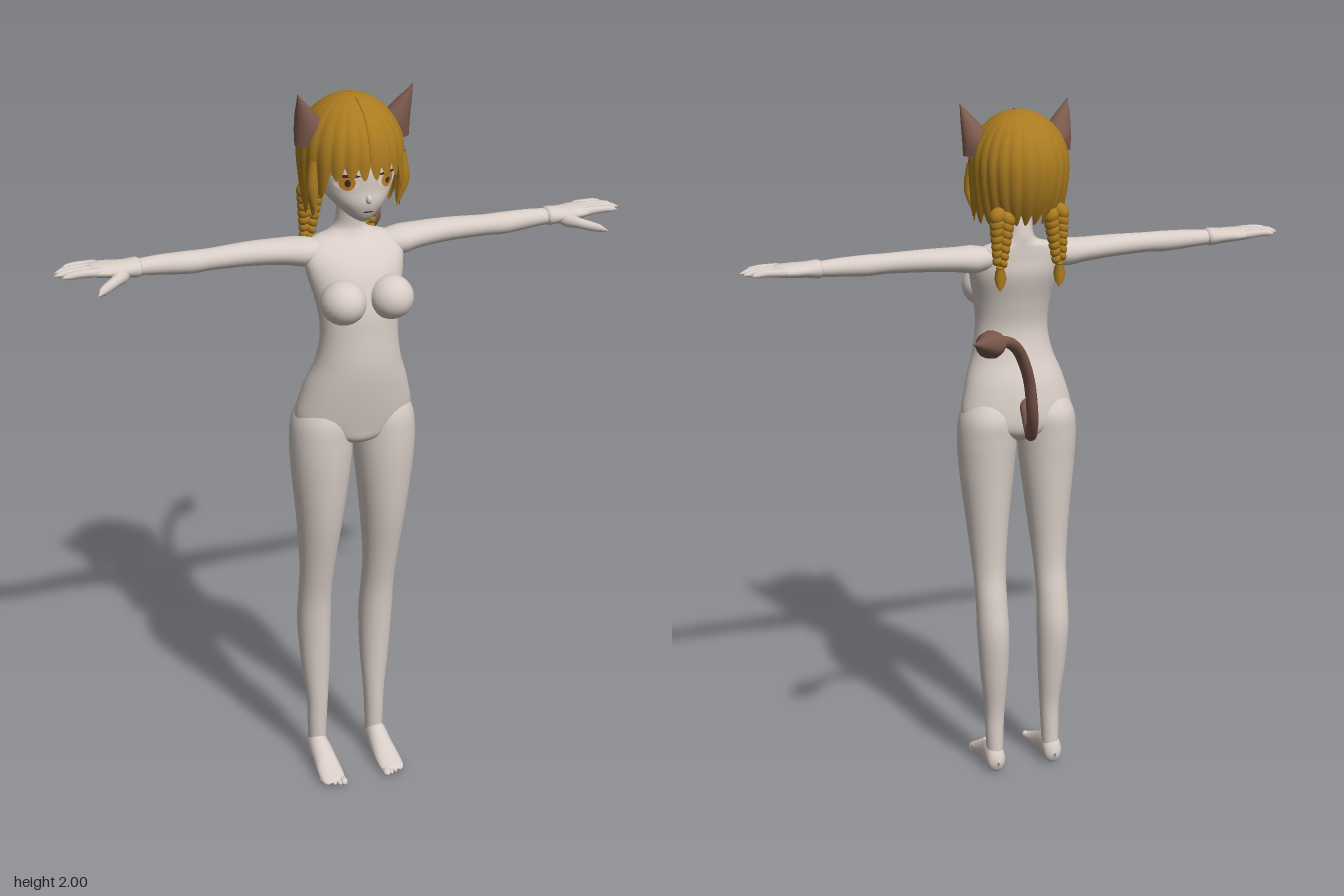
import * as THREE from 'three';

const mat = (name, color, side = THREE.FrontSide) => {
  const m = new THREE.MeshStandardMaterial({ color, side });
  m.name = name;
  return m;
};

// Catmull-Rom through rows of numbers
function smoothRows(rows, steps) {
  const out = [], at = i => rows[Math.min(rows.length - 1, Math.max(0, i))];
  for (let i = 0; i < rows.length - 1; i++) {
    for (let s = 0; s < steps; s++) {
      const t = s / steps, [a, b, c, d] = [at(i - 1), at(i), at(i + 1), at(i + 2)];
      out.push(b.map((_, k) => 0.5 * (2 * b[k] + (c[k] - a[k]) * t
        + (2 * a[k] - 5 * b[k] + 4 * c[k] - d[k]) * t * t
        + (3 * b[k] - a[k] - 3 * c[k] + d[k]) * t * t * t)));
    }
  }
  out.push(rows[rows.length - 1]);
  return out;
}

// Indices for a stack of closed rings
function ringIndices(rings, n) {
  const idx = [];
  for (let i = 0; i < rings - 1; i++) for (let j = 0; j < n; j++) {
    const a = i * n + j, b = i * n + (j + 1) % n;
    idx.push(a, b, a + n, b, b + n, a + n);
  }
  return idx;
}

function meshData(pos, idx) {
  const g = new THREE.BufferGeometry();
  g.setAttribute('position', new THREE.Float32BufferAttribute(pos, 3));
  g.setIndex(idx);
  g.computeVertexNormals();
  return g;
}

// Elliptical loft. Rows: [along, u, v, ru, rv]; (u,v) is (z,x) for y, (y,z) for x, (x,y) for z
function loft(rows, axis, n = 28, steps = 5) {
  const rings = smoothRows(rows, steps), pos = [];
  for (const [w, cu, cv, ru, rv] of rings) for (let j = 0; j < n; j++) {
    const a = j / n * Math.PI * 2;
    const u = cu + Math.max(ru, 0.0004) * Math.cos(a), v = cv + Math.max(rv, 0.0004) * Math.sin(a);
    pos.push(...(axis === 'y' ? [v, w, u] : axis === 'x' ? [w, u, v] : [u, v, w]));
  }
  return meshData(pos, ringIndices(rings.length, n));
}

// Tube whose radius follows a list
function taper(points, radii, segs = 24, sides = 12) {
  const curve = new THREE.CatmullRomCurve3(points.map(p => new THREE.Vector3(...p)));
  const g = new THREE.TubeGeometry(curve, segs, 1, sides), p = g.attributes.position, v = new THREE.Vector3();
  for (let i = 0; i <= segs; i++) {
    const c = curve.getPointAt(i / segs), f = i / segs * (radii.length - 1);
    const k = Math.min(radii.length - 2, Math.floor(f));
    const r = THREE.MathUtils.lerp(radii[k], radii[k + 1], f - k);
    for (let j = 0; j <= sides; j++) {
      const q = i * (sides + 1) + j;
      v.fromBufferAttribute(p, q).sub(c).multiplyScalar(r).add(c);
      p.setXYZ(q, v.x, v.y, v.z);
    }
  }
  return g;
}

const ball = (x, y, z, rx, ry, rz) => new THREE.SphereGeometry(1, 24, 16).scale(rx, ry, rz).translate(x, y, z);

function mirrored(geo) {
  const g = geo.clone().scale(-1, 1, 1), ix = g.index.array;
  for (let i = 0; i < ix.length; i += 3) [ix[i], ix[i + 1]] = [ix[i + 1], ix[i]];
  return g;
}

const headRows = [[1.668, 0.275, 0, 0.006, 0.006], [1.685, 0.262, 0, 0.036, 0.036], [1.72, 0.235, 0, 0.078, 0.072],
  [1.76, 0.206, 0, 0.106, 0.1], [1.82, 0.19, 0, 0.122, 0.118], [1.9, 0.18, 0, 0.105, 0.11], [1.95, 0.18, 0, 0.05, 0.06]];

// Disc laid on the curved face
function facePatch(cx, cy, rx, ry, lift) {
  const rows = smoothRows(headRows, 12), g = new THREE.CircleGeometry(1, 28).scale(rx, ry, 1).translate(cx, cy, 0);
  const p = g.attributes.position;
  for (let i = 0; i < p.count; i++) {
    const x = p.getX(i), y = p.getY(i), k = rows.findIndex(r => r[0] > y), a = rows[k - 1], b = rows[k];
    const t = (y - a[0]) / (b[0] - a[0]), [, cz, , rz, rw] = a.map((s, q) => s + (b[q] - s) * t);
    p.setZ(i, cz + rz * Math.sqrt(Math.max(0, 1 - (x / rw) ** 2)) + lift);
  }
  g.computeVertexNormals();
  return g;
}

// Hair shell with ridged strands, a fringe and a jagged hem
function hairShell() {
  const n = 168, top = 12, low = 8, pos = [], yc = 1.835;
  for (let i = 0; i <= top + low; i++) for (let j = 0; j < n; j++) {
    const a = j / n * Math.PI * 2, f = Math.cos(a), back = Math.max(0, -f);
    const strand = Math.abs(Math.sin(a * 12 + 0.5 * Math.sin(a * 3)));
    const hem = 1.695 + 0.112 * THREE.MathUtils.smoothstep(f, 0.3, 0.85) + 0.022 * (0.5 - strand) * 1.6;
    let y, r;
    if (i >= top) {
      // bottom row first, so the rings rise
      const t = (i - top) / low;
      y = yc - (yc - hem) * t;
      const d = (yc - y) / 0.145;
      r = 1 - (0.07 + 0.26 * back) * d * d;
    } else {
      const s = Math.max(0.01, i / top) * Math.PI / 2;
      y = yc + 0.146 * Math.cos(s);
      r = Math.sin(s);
    }
    r *= 0.975 + 0.035 * strand * Math.min(1, i / top);
    pos.push(0.137 * r * Math.sin(a), y, 0.18 + 0.147 * r * f);
  }
  const idx = ringIndices(top + low + 1, n);
  for (let i = 0; i < idx.length; i += 3) [idx[i], idx[i + 1]] = [idx[i + 1], idx[i]];
  return meshData(pos, idx);
}

export function createModel() {
  const model = new THREE.Group();
  model.name = 'figure';
  const skin = mat('skin', 0xd8cdc6), hair = mat('hair', 0xaa7b20, THREE.DoubleSide), fur = mat('brown fur', 0x7d5a4d);
  const white = mat('eye white', 0xf0e2de), amber = mat('amber iris', 0xc9852b), dark = mat('dark line', 0x4a2a20);
  const add = (name, geo, m) => {
    const mesh = new THREE.Mesh(geo, m);
    mesh.name = name;
    model.add(mesh);
  };
  const pair = (name, geo, m) => {
    add('left ' + name, geo, m);
    add('right ' + name, mirrored(geo), m);
  };

  // Torso, neck and head
  add('torso', loft([[1.03, 0.21, 0, 0.03, 0.02], [1.055, 0.21, 0, 0.078, 0.09], [1.1, 0.208, 0, 0.094, 0.162],
    [1.2, 0.225, 0, 0.097, 0.146], [1.28, 0.245, 0, 0.087, 0.118], [1.36, 0.252, 0, 0.078, 0.106],
    [1.44, 0.243, 0, 0.082, 0.113], [1.52, 0.22, 0, 0.081, 0.132], [1.57, 0.203, 0, 0.064, 0.136],
    [1.602, 0.185, 0, 0.045, 0.11], [1.617, 0.18, 0, 0.04, 0.06], [1.64, 0.178, 0, 0.037, 0.039],
    [1.7, 0.187, 0, 0.036, 0.037], [1.76, 0.19, 0, 0.036, 0.037]], 'y', 40), skin);
  pair('chest', ball(0.066, 1.465, 0.307, 0.06, 0.058, 0.065), skin);
  add('head', loft(headRows, 'y', 40), skin);
  add('nose', ball(0, 1.737, 0.314, 0.008, 0.012, 0.011), skin);

  // Face details
  pair('eye white', facePatch(0.055, 1.782, 0.029, 0.02, 0.003), white);
  pair('iris', facePatch(0.054, 1.782, 0.019, 0.02, 0.0045), amber);
  pair('pupil', facePatch(0.054, 1.782, 0.007, 0.01, 0.006), dark);
  pair('eyelash', facePatch(0.056, 1.801, 0.032, 0.004, 0.006), dark);
  add('mouth', facePatch(0, 1.703, 0.013, 0.002, 0.003), dark);

  // Legs and feet
  pair('leg', loft([[0.04, 0.165, 0.088, 0.028, 0.024], [0.12, 0.168, 0.088, 0.029, 0.027],
    [0.2, 0.168, 0.087, 0.031, 0.03], [0.32, 0.16, 0.09, 0.042, 0.041], [0.45, 0.157, 0.093, 0.052, 0.047],
    [0.55, 0.168, 0.094, 0.05, 0.046], [0.65, 0.187, 0.094, 0.052, 0.049], [0.8, 0.203, 0.093, 0.071, 0.063],
    [0.95, 0.209, 0.092, 0.085, 0.08], [1.05, 0.208, 0.09, 0.091, 0.086], [1.12, 0.207, 0.084, 0.088, 0.081],
    [1.19, 0.215, 0.072, 0.05, 0.05]], 'y', 32), skin);
  pair('foot', loft([[0.125, 0.09, 0.032, 0.004, 0.006], [0.14, 0.09, 0.037, 0.026, 0.035], [0.18, 0.09, 0.046, 0.03, 0.046],
    [0.23, 0.089, 0.034, 0.033, 0.034], [0.28, 0.09, 0.02, 0.036, 0.02], [0.315, 0.09, 0.012, 0.033, 0.012],
    [0.328, 0.089, 0.01, 0.02, 0.006]], 'z'), skin);
  for (let i = 0; i < 5; i++) {
    const r = i ? 0.0075 : 0.011;
    pair('toe ' + (i + 1), ball(0.066 + i * 0.0135, 0.011, 0.326 - i * i * 0.0018, r, r, 0.015), skin);
  }

  // Arms and hands
  pair('arm', loft([[0.07, 1.573, 0.187, 0.024, 0.03], [0.13, 1.573, 0.184, 0.038, 0.05], [0.19, 1.578, 0.178, 0.034, 0.046],
    [0.28, 1.582, 0.177, 0.031, 0.037], [0.38, 1.582, 0.182, 0.028, 0.031], [0.44, 1.581, 0.182, 0.029, 0.033],
    [0.52, 1.583, 0.178, 0.025, 0.028], [0.59, 1.583, 0.177, 0.019, 0.025]], 'x'), skin);
  pair('hand', loft([[0.565, 1.584, 0.177, 0.018, 0.026], [0.575, 1.584, 0.177, 0.025, 0.034], [0.61, 1.585, 0.177, 0.021, 0.037],
    [0.65, 1.587, 0.173, 0.019, 0.044], [0.69, 1.589, 0.17, 0.015, 0.042], [0.708, 1.589, 0.169, 0.004, 0.034]], 'x'), skin);
  [0.762, 0.782, 0.788, 0.772].forEach((tip, i) => {
    const z = 0.137 + i * 0.0215;
    pair('finger ' + (i + 1), taper([[0.67, 1.59, z], [0.73, 1.592, z], [tip, 1.587, z]],
      [0.011, 0.012, 0.011, 0.0105, 0.01, 0.009, 0.0005], 18, 10), skin);
  });
  pair('thumb', taper([[0.605, 1.578, 0.19], [0.645, 1.57, 0.228], [0.68, 1.563, 0.257], [0.703, 1.56, 0.288]],
    [0.015, 0.019, 0.014, 0.013, 0.011, 0.0005], 20, 12), skin);

  // Hair, side locks and braids
  add('hair', hairShell(), hair);
  pair('side lock', taper([[0.118, 1.83, 0.235], [0.124, 1.76, 0.24], [0.112, 1.68, 0.228]], [0.014, 0.016, 0.001]), hair);
  add('parting', new THREE.TorusGeometry(0.143, 0.003, 6, 24, 1.3).rotateY(-Math.PI / 2).translate(0, 1.838, 0.18), hair);
  for (let i = 0; i < 7; i++) {
    const t = i / 6, y = 1.705 - 0.122 * t, r = 0.028 - 0.012 * t;
    for (const s of [-1, 1]) {
      const bead = ball(0, 0, 0, r * 0.75, r * 0.95, r * 0.9).rotateZ(s * 0.6)
        .translate(0.078 + 0.008 * t + s * r * 0.5, y + s * 0.004, 0.095 - 0.004 * t);
      pair('braid link', bead, hair);
    }
  }
  pair('braid tie', new THREE.TorusGeometry(0.008, 0.004, 8, 16).rotateX(Math.PI / 2).translate(0.086, 1.566, 0.09), hair);
  pair('braid end', taper([[0.086, 1.572, 0.09], [0.086, 1.53, 0.089], [0.086, 1.498, 0.09]], [0.006, 0.014, 0.017, 0.012, 0.001]), hair);

  // Pointed ears
  pair('ear', loft([[1.86, 0.195, 0.105, 0.03, 0.05], [1.9, 0.195, 0.111, 0.036, 0.045], [1.95, 0.205, 0.133, 0.022, 0.024],
    [1.98, 0.214, 0.147, 0.009, 0.009], [2, 0.218, 0.156, 0.0005, 0.0005]], 'y', 20), fur);

  // Tail with a pointed tuft
  add('tail', taper([[0, 1.165, 0.14], [0.01, 1.125, 0.08], [0.022, 1.107, 0.025], [0.045, 1.125, -0.045], [0.06, 1.19, -0.1],
    [0.088, 1.32, -0.148], [0.135, 1.415, -0.2], [0.19, 1.46, -0.26], [0.225, 1.467, -0.29]],
    [0.017, 0.017, 0.016, 0.016, 0.015], 64, 14), fur);
  add('tail tuft', taper([[0.205, 1.465, -0.272], [0.255, 1.472, -0.315], [0.312, 1.492, -0.37]],
    [0.014, 0.03, 0.037, 0.033, 0.02, 0.009, 0.0005], 30, 14), fur);
  return model;
}
